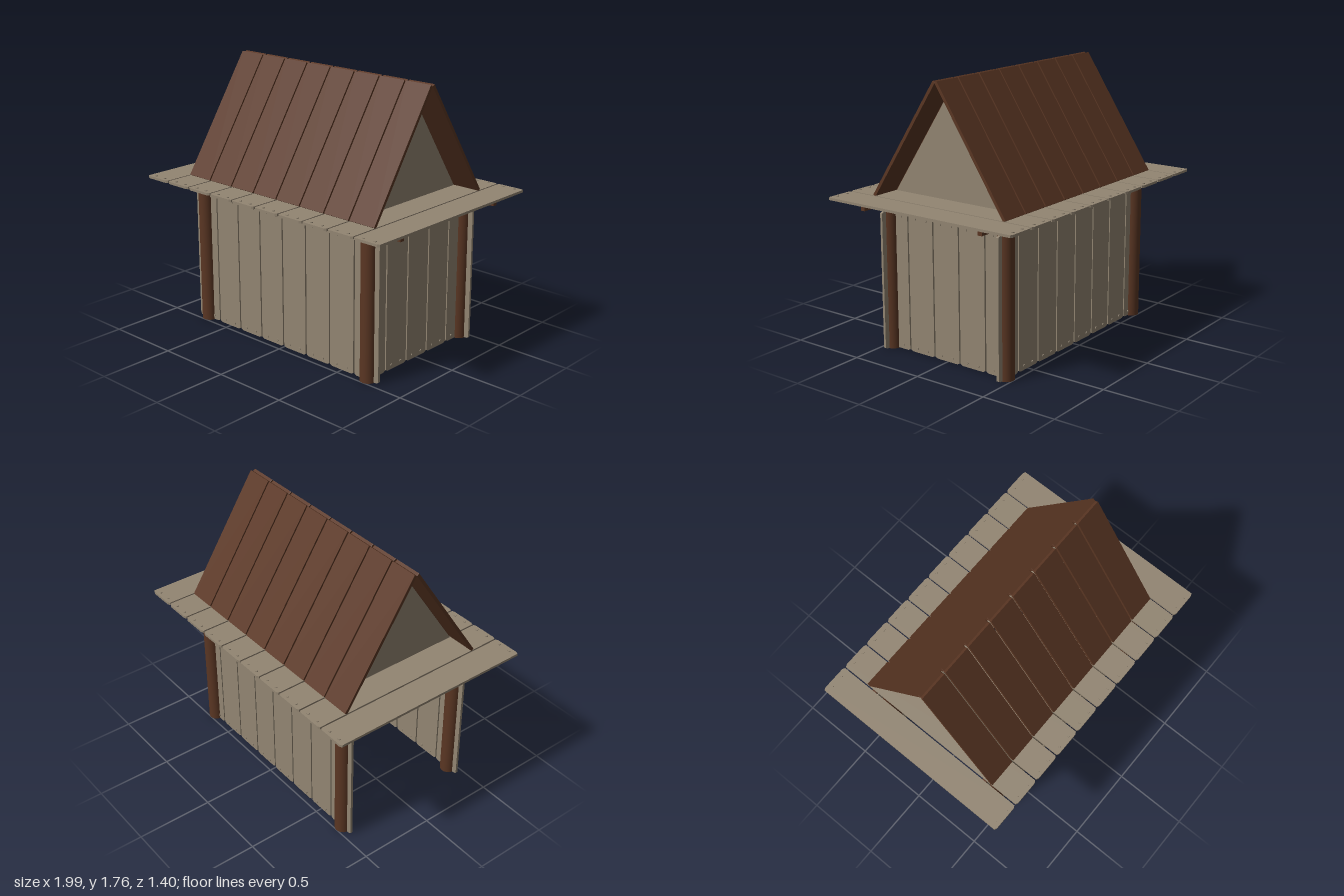
import * as THREE from 'three';

export function createModel() {
  const model = new THREE.Group();
  model.name = 'woodenHut';
  const paleWood = new THREE.MeshStandardMaterial({ color: 0x928572 });
  paleWood.name = 'pale plank wood';
  const brownWood = new THREE.MeshStandardMaterial({ color: 0x5a3623 });
  brownWood.name = 'brown timber';

  const T = 0.016; // pale plank thickness
  const nailGeo = new THREE.CylinderGeometry(0.009, 0.009, T + 0.01, 8).rotateX(Math.PI / 2);

  // Upright plank with clipped corners, centred on the origin and facing z
  function plankGeometry(width, length, thick, clip) {
    const w = width / 2, h = length / 2;
    const s = new THREE.Shape();
    s.moveTo(-w, -h + clip);
    s.lineTo(-w + clip * 2, -h);
    s.lineTo(w - clip * 2, -h);
    s.lineTo(w, -h + clip);
    s.lineTo(w, h - clip);
    s.lineTo(w - clip * 2, h);
    s.lineTo(-w + clip * 2, h);
    s.lineTo(-w, h - clip);
    s.closePath();
    return new THREE.ExtrudeGeometry(s, { depth: thick, bevelEnabled: false })
      .translate(0, 0, -thick / 2);
  }

  // Row of planks side by side along x, with two nails at each end if wanted
  function plankRow(name, count, length, thick, mat, nails) {
    const row = new THREE.Group();
    row.name = name;
    const geo = plankGeometry(0.19, length, thick, nails ? 0.008 : 0.002);
    for (let i = 0; i < count; i++) {
      const x = (i - (count - 1) / 2) * 0.2;
      const plank = new THREE.Mesh(geo, mat);
      plank.name = name + 'Plank';
      plank.position.x = x;
      row.add(plank);
      if (!nails) continue;
      for (const sx of [-1, 1]) for (const sy of [-1, 1]) {
        const nail = new THREE.Mesh(nailGeo, mat);
        nail.name = 'nail';
        nail.position.set(x + sx * 0.043, sy * (length / 2 - 0.028), 0);
        row.add(nail);
      }
    }
    model.add(row);
    return row;
  }

  function box(name, w, h, d, x, y, z) {
    const m = new THREE.Mesh(new THREE.BoxGeometry(w, h, d), brownWood);
    m.name = name;
    m.position.set(x, y, z);
    model.add(m);
  }

  // Walls: front, back and the +x end; the -x end stays open
  for (const s of [1, -1]) {
    plankRow(s > 0 ? 'frontWall' : 'backWall', 8, 0.9, T, paleWood, true)
      .position.set(0, 0.453, s * 0.45);
  }
  const endWall = plankRow('endWall', 5, 0.9, T, paleWood, true);
  endWall.rotation.y = Math.PI / 2;
  endWall.position.set(0.71, 0.453, 0);

  // Round corner posts
  const postGeo = new THREE.CylinderGeometry(0.052, 0.052, 0.985, 20);
  for (const x of [-0.71, 0.71]) for (const z of [-0.45, 0.45]) {
    const post = new THREE.Mesh(postGeo, brownWood);
    post.name = 'cornerPost';
    post.position.set(x, 0.4925, z);
    model.add(post);
  }

  // Cross beams over the ends, long beams over the sides
  for (const s of [-1, 1]) {
    box('crossBeam', 0.122, 0.043, 1.03, s * 0.708, 0.923, 0);
    box('longBeam', 1.91, 0.04, 0.03, 0, 0.965, s * 0.45);
  }

  // Flat deck that forms the eaves
  const deck = plankRow('eaveDeck', 10, 1.4, T, paleWood, true);
  deck.rotation.x = -Math.PI / 2;
  deck.position.y = 0.992;

  // Two roof slopes meeting at the ridge
  const tilt = Math.atan2(0.5, 0.76);
  for (const s of [1, -1]) {
    const slope = plankRow(s > 0 ? 'frontRoof' : 'backRoof', 8, 0.9, 0.02, brownWood, false);
    slope.rotation.x = -s * tilt;
    slope.position.set(0, 1.375, s * 0.255);
  }

  // Gable triangles set in from the roof ends
  const tri = new THREE.Shape();
  tri.moveTo(-0.485, 0);
  tri.lineTo(0.485, 0);
  tri.lineTo(0, 0.737);
  tri.closePath();
  const gableGeo = new THREE.ExtrudeGeometry(tri, { depth: 0.016, bevelEnabled: false })
    .translate(0, 0, -0.008).rotateY(Math.PI / 2);
  for (const s of [-1, 1]) {
    const gable = new THREE.Mesh(gableGeo, paleWood);
    gable.name = 'gable';
    gable.position.set(s * 0.6, 1, 0);
    model.add(gable);
  }

  return model;
}
